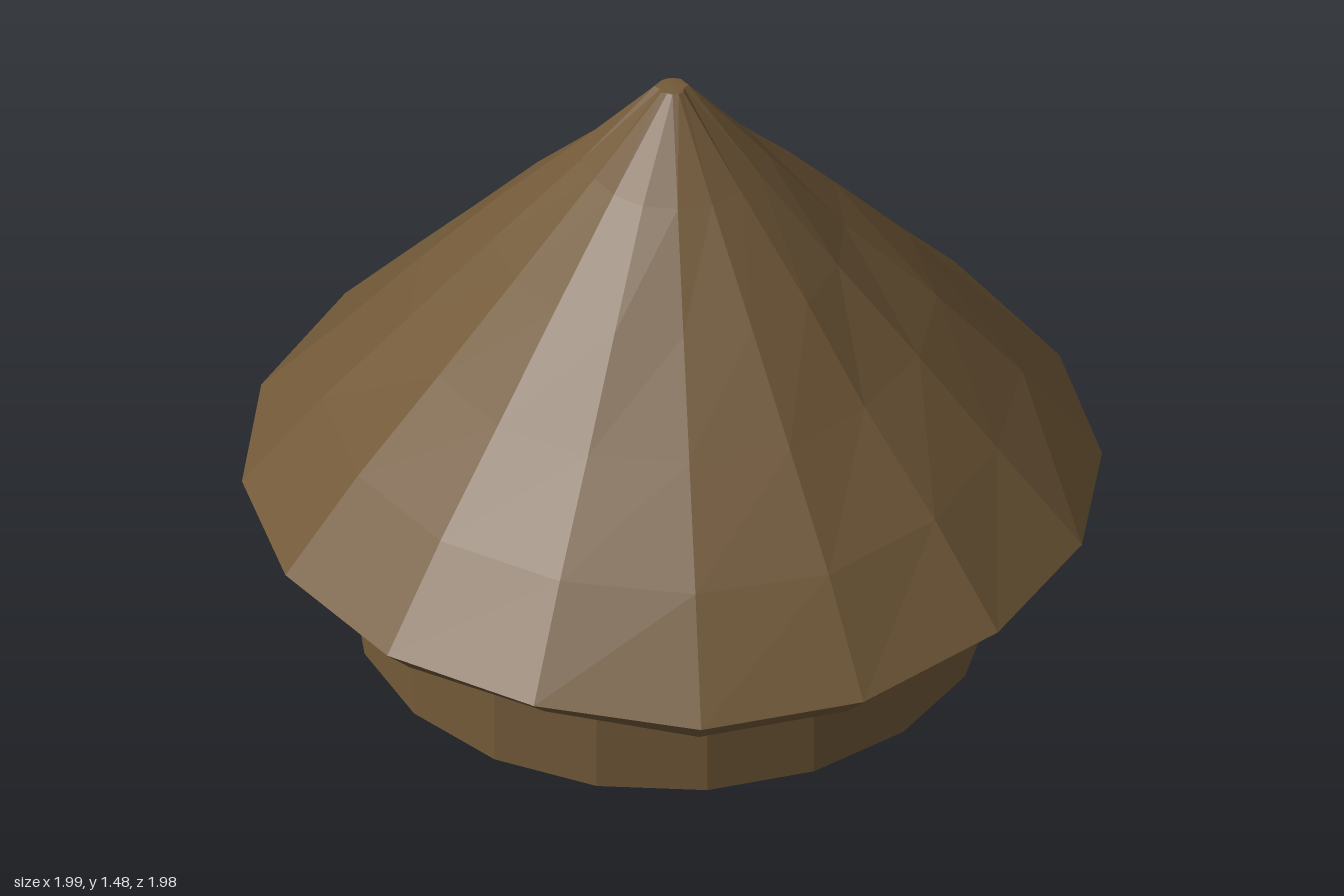
import * as THREE from 'three';

const SIDES = 16;

// Small repeatable wobble between -1 and 1
function makeNoise(seed) {
  let s = seed;
  return () => {
    s = (s * 16807) % 2147483647;
    return (s / 2147483647) * 2 - 1;
  };
}

// Hollow thatched cone with a wavy rim, stitched ring by ring
function roofGeometry() {
  const noise = makeNoise(77);
  // Rim height at each corner, from the front (+z) round past the left (+x)
  const rimY = [0.37, 0.395, 0.395, 0.37, 0.37, 0.41, 0.37, 0.39,
    0.40, 0.39, 0.38, 0.39, 0.40, 0.40, 0.40, 0.365];
  // [radius, height, wobble, share of the rim wave], inside to tip
  const rings = [
    [0.68, 0.56, 0, 0], [0.91, 0.307, 0.005, 1], [0.993, 0.385, 0.004, 1],
    [0.80, 0.62, 0.012, 0.3], [0.60, 0.84, 0.012, 0], [0.41, 1.055, 0.012, 0],
    [0.205, 1.275, 0.012, 0], [0.035, 1.475, 0.006, 0],
  ];
  const pos = [], index = [];
  for (const [radius, height, wobble, wave] of rings) {
    for (let j = 0; j < SIDES; j++) {
      const a = (j / SIDES) * Math.PI * 2;
      const r = radius + noise() * wobble;
      pos.push(r * Math.sin(a), height + (rimY[j] - 0.385) * wave, r * Math.cos(a));
    }
  }
  for (let k = 0; k < rings.length - 1; k++) {
    for (let j = 0; j < SIDES; j++) {
      const n = (j + 1) % SIDES;
      const a = k * SIDES + j, b = k * SIDES + n;
      index.push(a, b, b + SIDES, a, b + SIDES, a + SIDES);
    }
  }
  // Flat tip
  const last = (rings.length - 1) * SIDES, tip = pos.length / 3;
  pos.push(0, 1.478, 0);
  for (let j = 0; j < SIDES; j++) index.push(last + j, last + ((j + 1) % SIDES), tip);

  const geo = new THREE.BufferGeometry();
  geo.setAttribute('position', new THREE.Float32BufferAttribute(pos, 3));
  geo.setIndex(index);
  geo.computeVertexNormals();
  return geo;
}

export function createModel() {
  const group = new THREE.Group();
  group.name = 'roundHut';

  const straw = new THREE.MeshStandardMaterial({ color: 0x735a39, flatShading: true });
  straw.name = 'straw brown';
  const darkWood = new THREE.MeshStandardMaterial({ color: 0x260d0f, flatShading: true });
  darkWood.name = 'dark red wood';

  const add = (name, geometry, material, x = 0, y = 0, z = 0) => {
    const mesh = new THREE.Mesh(geometry, material);
    mesh.name = name;
    mesh.position.set(x, y, z);
    group.add(mesh);
  };

  add('roof', roofGeometry(), straw);
  // Round wall reaching up under the thatch
  add('wall', new THREE.CylinderGeometry(0.735, 0.735, 0.52, 18), straw, 0, 0.26, 0);
  // Door block on the left side
  add('door', new THREE.BoxGeometry(0.11, 0.419, 0.325), darkWood, 0.71, 0.2105, 0.005);

  return group;
}
